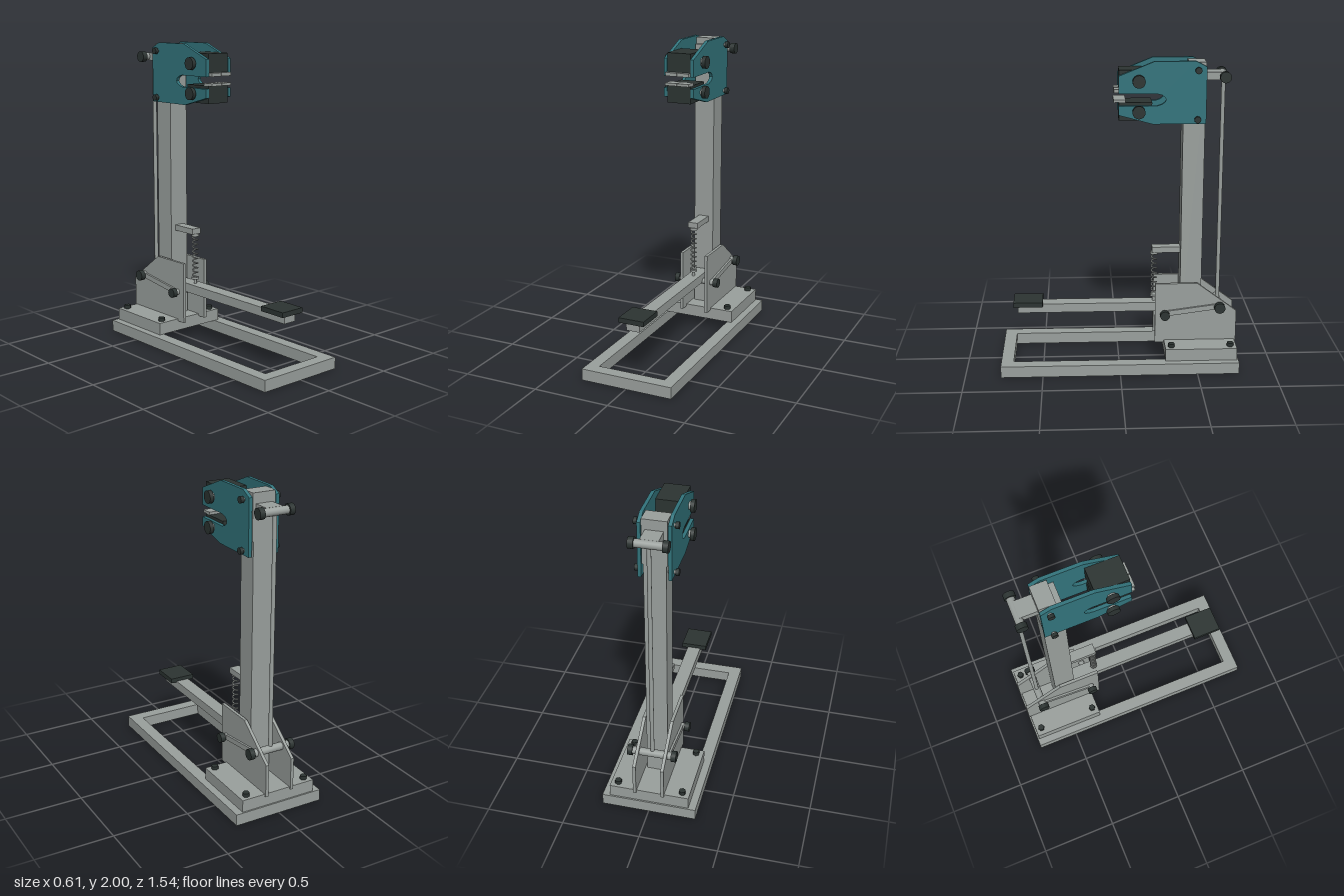
import * as THREE from 'three';

export function createModel() {
  const model = new THREE.Group();
  const mat = (name, color) => Object.assign(new THREE.MeshStandardMaterial({ color }), { name });
  const steel = mat('grey steel', 0x9aa09d);
  const teal = mat('teal paint', 0x32747c);
  const dark = mat('dark rubber', 0x2c3432);

  const add = (name, geometry, material) => {
    const mesh = new THREE.Mesh(geometry, material);
    mesh.name = name;
    model.add(mesh);
    return mesh;
  };
  // Box given by its limits on each axis
  const box = (name, material, x0, x1, y0, y1, z0, z1) =>
    add(name, new THREE.BoxGeometry(x1 - x0, y1 - y0, z1 - z0), material)
      .position.set((x0 + x1) / 2, (y0 + y1) / 2, (z0 + z1) / 2);
  // Plate with a (z, y) outline, its thickness centred on x
  const plate = (name, material, outline, x, thickness) => {
    const shape = new THREE.Shape(outline.map(([z, y]) => new THREE.Vector2(z, y)));
    const geometry = new THREE.ExtrudeGeometry(shape, { depth: thickness, bevelEnabled: false });
    geometry.translate(0, 0, -thickness / 2).rotateY(-Math.PI / 2);
    add(name, geometry, material).position.x = x;
  };
  // Cylinder along x
  const pin = (name, material, x0, x1, y, z, radius, sides = 24) => {
    const geometry = new THREE.CylinderGeometry(radius, radius, x1 - x0, sides).rotateZ(Math.PI / 2);
    add(name, geometry, material).position.set((x0 + x1) / 2, y, z);
  };
  // Cross shaft with a dark head at each end
  const axle = (name, y, z, shaftRadius, headRadius, inner, outer, sides) => {
    pin(name + 'Shaft', steel, -inner, inner, y, z, shaftRadius);
    pin(name + 'HeadLeft', dark, inner, outer, y, z, headRadius, sides);
    pin(name + 'HeadRight', dark, -outer, -inner, y, z, headRadius, sides);
  };

  // Floor frame: rectangle with an open middle
  const rect = (Type, w, l) => new Type([[-w, -l], [w, -l], [w, l], [-w, l]].map(p => new THREE.Vector2(...p)));
  const frame = rect(THREE.Shape, 0.305, 0.77);
  frame.holes.push(rect(THREE.Path, 0.225, 0.69));
  add('floorFrame', new THREE.ExtrudeGeometry(frame, { depth: 0.075, bevelEnabled: false }).rotateX(-Math.PI / 2), steel);

  // Mounting block and its bolts
  box('mountingBlock', steel, -0.257, 0.257, 0.075, 0.155, -0.76, -0.295);
  for (const x of [-0.21, 0.21]) for (const z of [-0.72, -0.335]) {
    add('mountingBolt', new THREE.CylinderGeometry(0.022, 0.022, 0.026, 6), dark).position.set(x, 0.167, z);
  }

  // Column and its cap
  box('column', steel, -0.068, 0.068, 0.155, 1.95, -0.538, -0.4);
  box('columnCap', steel, -0.076, 0.076, 1.7, 1.99, -0.54, -0.435);

  const bracket = [[-0.235, 0.14], [-0.235, 0.55], [-0.51, 0.55], [-0.77, 0.355], [-0.77, 0.14]];
  // Jaw cheek with a rounded throat slot
  const cheek = [[0.005, 1.91], [-0.217, 2], [-0.472, 2], [-0.54, 1.965], [-0.54, 1.61], [-0.207, 1.61],
    [0.005, 1.668], [0.005, 1.725], [-0.235, 1.725], [-0.265, 1.735], [-0.283, 1.748], [-0.29, 1.762],
    [-0.283, 1.778], [-0.265, 1.792], [-0.235, 1.8], [0.005, 1.8]];

  for (const s of [-1, 1]) {
    plate('baseBracket', steel, bracket, s * 0.09, 0.02);
    plate('headCheek', teal, cheek, s * 0.091, 0.022);

    // Pedal links outside the brackets
    const [z0, y0, z1, y1] = [-0.297, 0.345, -0.655, 0.393];
    const link = new THREE.BoxGeometry(0.014, 0.034, Math.hypot(z1 - z0, y1 - y0));
    const mesh = add('pedalLink', link, steel);
    mesh.position.set(s * 0.109, (y0 + y1) / 2, (z0 + z1) / 2);
    mesh.rotation.x = Math.atan2(y1 - y0, z0 - z1);

    // Split gripping dies
    const [a, b] = s > 0 ? [0.002, 0.08] : [-0.08, -0.002];
    box('upperDie', steel, a, b, 1.803, 1.825, -0.2, 0.033);
    box('lowerDie', steel, a, b, 1.743, 1.76, -0.04, 0.035);
  }

  // Jaw blocks
  box('upperJaw', dark, -0.08, 0.08, 1.825, 1.945, -0.21, 0.002);
  box('lowerJaw', dark, -0.08, 0.08, 1.63, 1.743, -0.205, 0.002);

  // Head bolts and pivots
  axle('upperJawBolt', 1.88, -0.12, 0.025, 0.04, 0.115, 0.14);
  axle('lowerJawBolt', 1.69, -0.12, 0.025, 0.04, 0.115, 0.14);
  axle('upperCheekBolt', 1.945, -0.485, 0.012, 0.021, 0.112, 0.133, 12);
  axle('lowerCheekBolt', 1.64, -0.485, 0.012, 0.021, 0.112, 0.133, 12);
  axle('rodTopPivot', 1.9, -0.655, 0.025, 0.035, 0.083, 0.117);
  axle('rodBottomPivot', 0.393, -0.655, 0.025, 0.035, 0.125, 0.157);
  axle('pedalPivot', 0.345, -0.297, 0.02, 0.031, 0.125, 0.157);

  // Pull rod and the lever it drives
  box('headLever', steel, -0.055, 0.055, 1.875, 1.925, -0.65, -0.5);
  add('pullRod', new THREE.CylinderGeometry(0.013, 0.013, 1.507, 16), steel).position.set(0, 1.1465, -0.655);

  // Foot pedal
  box('pedalArm', steel, -0.045, 0.045, 0.34, 0.4, -0.39, 0.665);
  box('pedalPad', dark, -0.085, 0.085, 0.393, 0.425, 0.5, 0.69);

  // Return spring with its bracket and seats
  box('springBracket', steel, -0.034, 0.034, 0.742, 0.78, -0.4, -0.217);
  for (const [y, h] of [[0.735, 0.018], [0.438, 0.014]]) {
    add('springSeat', new THREE.CylinderGeometry(0.025, 0.025, h, 20), steel).position.set(0, y, -0.232);
  }
  add('springPost', new THREE.CylinderGeometry(0.01, 0.01, 0.04, 12), steel).position.set(0, 0.415, -0.232);
  const coil = [];
  const turns = 9;
  for (let i = 0; i <= turns * 12; i++) {
    const angle = (i / 12) * Math.PI * 2;
    coil.push(new THREE.Vector3(0.017 * Math.cos(angle), 0.44 + 0.29 * i / (turns * 12), -0.232 + 0.017 * Math.sin(angle)));
  }
  add('returnSpring', new THREE.TubeGeometry(new THREE.CatmullRomCurve3(coil), turns * 16, 0.005, 8), steel);

  return model;
}
